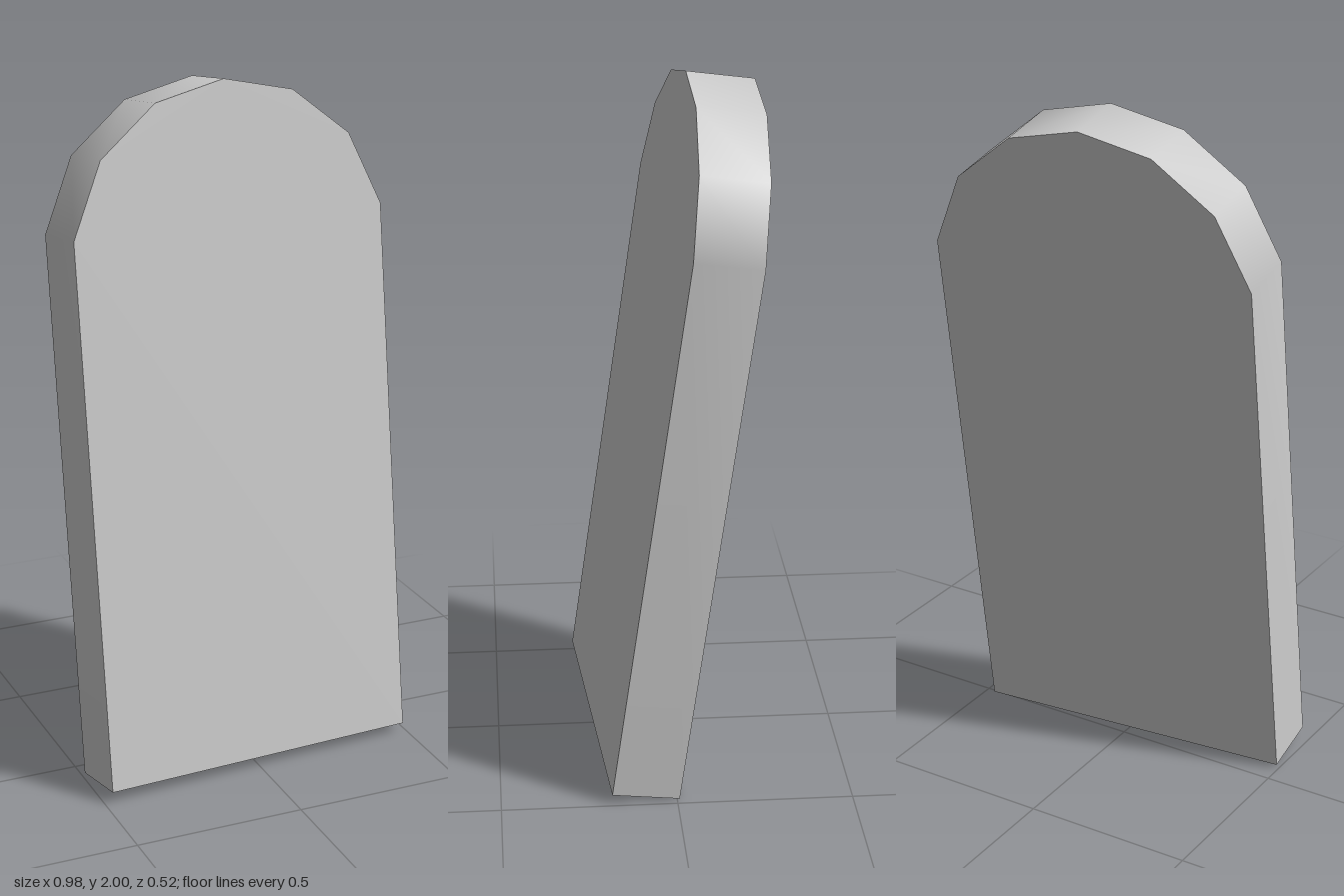
import * as THREE from 'three';

const DEPTH = 0.195;

export function createModel() {
  const model = new THREE.Group();
  const slab = new THREE.Group();
  slab.name = 'archedSlab';
  const material = new THREE.MeshStandardMaterial({ color: 0xcccccc, side: THREE.DoubleSide });

  // Outline: up the left edge, over the arch and down the right edge
  const half = [[0.485, 0], [0.485, 1.586], [0.39, 1.798], [0.215, 1.937]];
  const outline = [...half, [0, 1.985], ...half.map(([x, y]) => [-x, y]).reverse()]
    .map(([x, y]) => new THREE.Vector2(x, y));

  // Flat front and back faces
  const face = new THREE.ShapeGeometry(new THREE.Shape(outline));
  const front = new THREE.Mesh(face, material);
  front.name = 'frontFace';
  const back = new THREE.Mesh(face, material);
  back.name = 'backFace';
  back.rotation.y = Math.PI;
  back.position.z = -DEPTH;

  // Smooth rim wrapped along the outline; the underside stays open
  const rimGeometry = new THREE.PlaneGeometry(1, 1, outline.length - 1, 1);
  const pos = rimGeometry.attributes.position;
  for (let i = 0; i < pos.count; i++) {
    const p = outline[i % outline.length];
    pos.setXYZ(i, p.x, p.y, i < outline.length ? 0 : -DEPTH);
  }
  rimGeometry.computeVertexNormals();
  const rim = new THREE.Mesh(rimGeometry, material);
  rim.name = 'rim';

  // The slab leans back and is turned slightly
  slab.add(front, back, rim);
  slab.rotation.set(-0.1415, 0.0748, 0);
  slab.position.set(0.005, 0.034, 0.221);
  model.add(slab);
  return model;
}
